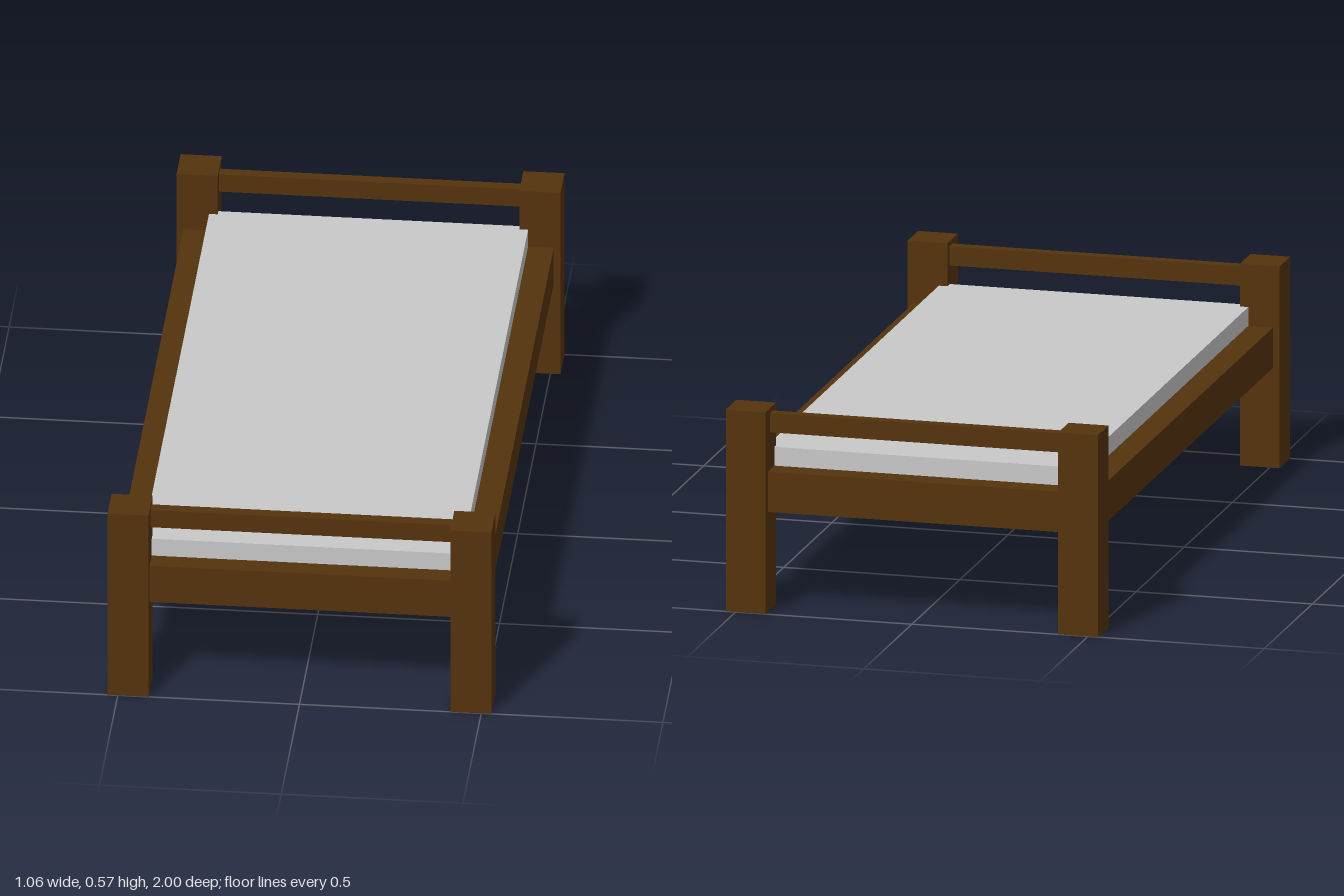
import * as THREE from 'three';

export function createModel() {
  const bed = new THREE.Group();
  bed.name = 'bed';

  const wood = new THREE.MeshStandardMaterial({ color: 0x55330d });
  wood.name = 'dark wood';
  const fabric = new THREE.MeshStandardMaterial({ color: 0xc8c8c8 });
  fabric.name = 'light grey fabric';

  // Box given by its extents along each axis
  function addBox(name, material, [x0, x1], [y0, y1], [z0, z1]) {
    const mesh = new THREE.Mesh(new THREE.BoxGeometry(x1 - x0, y1 - y0, z1 - z0), material);
    mesh.position.set((x0 + x1) / 2, (y0 + y1) / 2, (z0 + z1) / 2);
    mesh.name = name;
    bed.add(mesh);
  }

  const railHeight = [0.283, 0.397];
  const barHeight = [0.503, 0.557];
  const endSpan = [-0.42, 0.42];

  for (const [side, sx] of [['left', 1], ['right', -1]]) {
    // Corner posts
    for (const [end, sz] of [['Front', 1], ['Back', -1]]) {
      const x = sx * 0.4715, z = sz * 0.945;
      addBox(`${side}${end}Post`, wood,
        [x - 0.0565, x + 0.0565], [0, 0.571], [z - 0.055, z + 0.055]);
    }
    // Long side rails
    const x = sx * 0.4735;
    addBox(`${side}SideRail`, wood, [x - 0.036, x + 0.036], railHeight, [-0.895, 0.895]);
  }

  // End rails with a thin bar above each
  addBox('frontRail', wood, endSpan, railHeight, [0.902, 0.972]);
  addBox('frontTopBar', wood, endSpan, barHeight, [0.913, 0.945]);
  addBox('backRail', wood, endSpan, railHeight, [-0.976, -0.906]);
  addBox('backTopBar', wood, endSpan, barHeight, [-0.955, -0.923]);

  // Mattress resting inside the frame
  addBox('mattress', fabric, [-0.439, 0.439], [0.31, 0.45], [-0.908, 0.915]);

  return bed;
}
